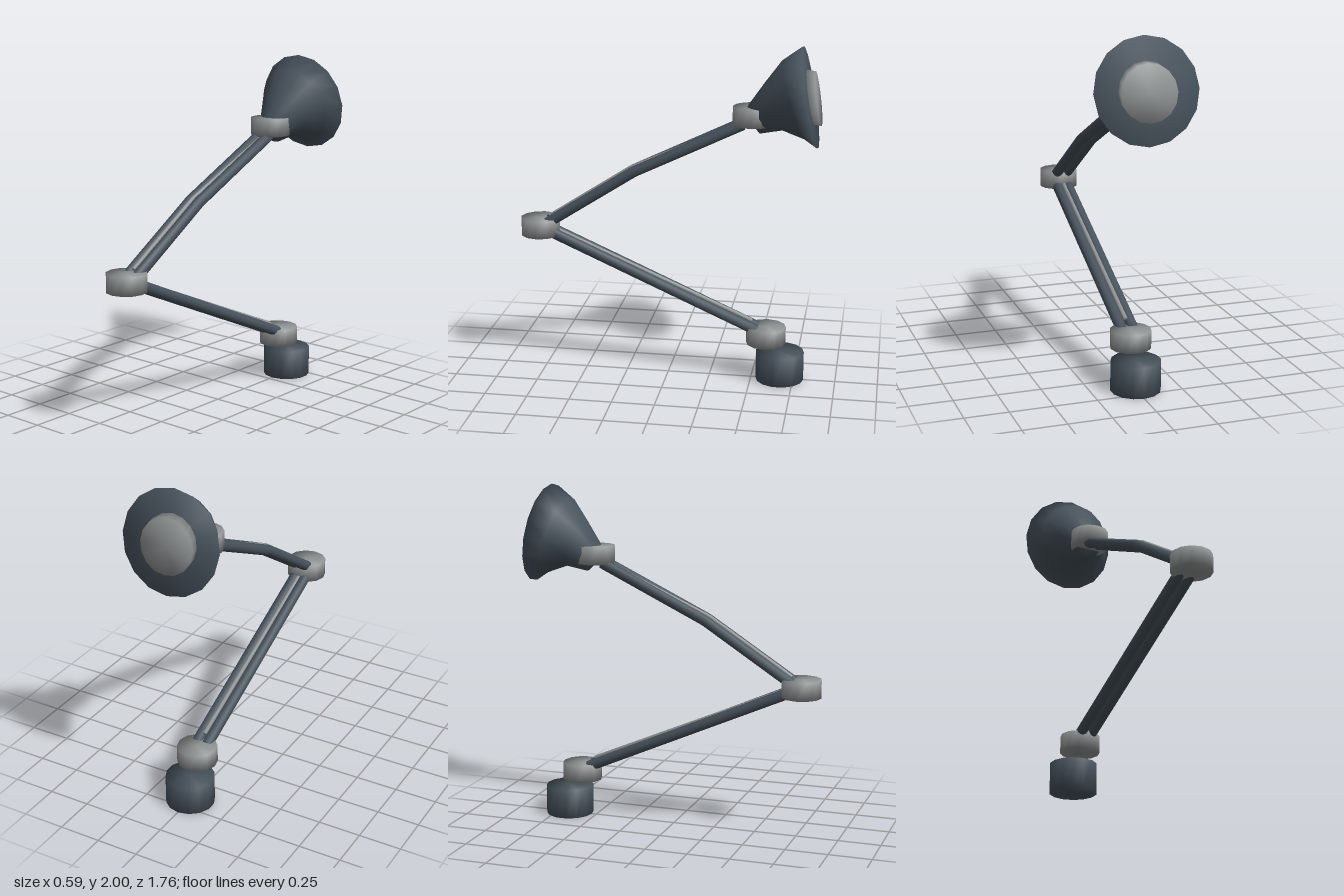
import * as THREE from 'three';
import { mergeVertices } from 'three/addons/utils/BufferGeometryUtils.js';

// Closed skin over elliptical rings standing on the x = 0 plane, listed by rising z.
// Each ring: [topZ, topY, bottomZ, bottomY, halfWidth]
function loft(rings, sides) {
  const pos = [], index = [];
  rings.forEach(([tz, ty, bz, by, w]) => {
    for (let j = 0; j < sides; j++) {
      const t = (j / sides) * Math.PI * 2, c = Math.cos(t) / 2;
      pos.push(Math.sin(t) * w, (ty + by) / 2 + (ty - by) * c, (tz + bz) / 2 + (tz - bz) * c);
    }
  });
  const last = (rings.length - 1) * sides, hub = rings.length * sides;
  [rings[0], rings[rings.length - 1]].forEach(([tz, ty, bz, by]) => pos.push(0, (ty + by) / 2, (tz + bz) / 2));
  for (let j = 0; j < sides; j++) {
    const k = (j + 1) % sides;
    for (let i = 0; i < last; i += sides) {
      index.push(i + j, i + sides + j, i + k, i + k, i + sides + j, i + sides + k);
    }
    index.push(hub, j, k, hub + 1, last + k, last + j);
  }
  const g = new THREE.BufferGeometry();
  g.setAttribute('position', new THREE.Float32BufferAttribute(pos, 3));
  g.setIndex(index);
  g.computeVertexNormals();
  return g;
}

// Mitred round bar through [z, y] points
function bar(points, r, sides) {
  const p = points.map(([z, y]) => new THREE.Vector2(z, y));
  return loft(p.map((q, i) => {
    const d = p[Math.min(i + 1, p.length - 1)].clone().sub(p[Math.max(i - 1, 0)]).normalize();
    return [q.x - d.y * r, q.y + d.x * r, q.x + d.y * r, q.y - d.x * r, r];
  }), sides);
}

// Upright drum with softly shaded edges
function drum(r, h, sides) {
  const g = new THREE.CylinderGeometry(r, r, h, sides);
  g.deleteAttribute('normal');
  g.deleteAttribute('uv');
  const m = mergeVertices(g, 1e-4);
  m.computeVertexNormals();
  return m;
}

export function createModel() {
  const model = new THREE.Group();
  model.name = 'deskLamp';
  const dark = new THREE.MeshStandardMaterial({ name: 'slate', color: 0x47525c });
  const grey = new THREE.MeshStandardMaterial({ name: 'warmGrey', color: 0x8f9393 });

  const add = (name, geometry, material, x = 0, y = 0, z = 0) => {
    const mesh = new THREE.Mesh(geometry, material);
    mesh.name = name;
    mesh.position.set(x, y, z);
    model.add(mesh);
  };

  // Base and the three pivots
  add('base', drum(0.142, 0.175, 14), dark, 0, 0.0875, -0.67);
  const pivot = drum(0.117, 0.104, 12);
  add('basePivot', pivot, grey, 0, 0.274, -0.585);
  add('elbowPivot', pivot, grey, 0, 0.883, 0.768);
  add('headPivot', pivot, grey, 0, 1.597, -0.487);

  // Paired arm bars
  const lower = bar([[-0.53, 0.31], [0.72, 0.865]], 0.032, 10);
  const upper = bar([[-0.43, 1.548], [0.2, 1.245], [0.72, 0.91]], 0.032, 10);
  for (const side of [-1, 1]) {
    const label = side > 0 ? 'left' : 'right';
    add(label + 'LowerArm', lower, dark, side * 0.033);
    add(label + 'UpperArm', upper, dark, side * 0.033);
  }

  // Thin tension rods lying in the groove between the bars
  add('lowerRod', bar([[-0.5, 0.358], [0.7, 0.876]], 0.013, 8), grey);
  add('upperRod', bar([[-0.4, 1.54], [0.22, 1.262], [0.71, 0.945]], 0.013, 8), grey);

  // Shade: oblique funnel from rim to neck
  add('shade', loft([
    [-0.757, 2.0, -0.862, 1.425, 0.295],
    [-0.644, 1.918, -0.79, 1.474, 0.228],
    [-0.55, 1.79, -0.663, 1.52, 0.152],
    [-0.45, 1.645, -0.534, 1.495, 0.08],
  ], 16), dark);

  // Bulb disc set in the shade mouth
  add('bulb', loft([
    [-0.83, 1.862, -0.877, 1.553, 0.158],
    [-0.76, 1.872, -0.807, 1.563, 0.158],
  ], 16), grey);

  return model;
}
